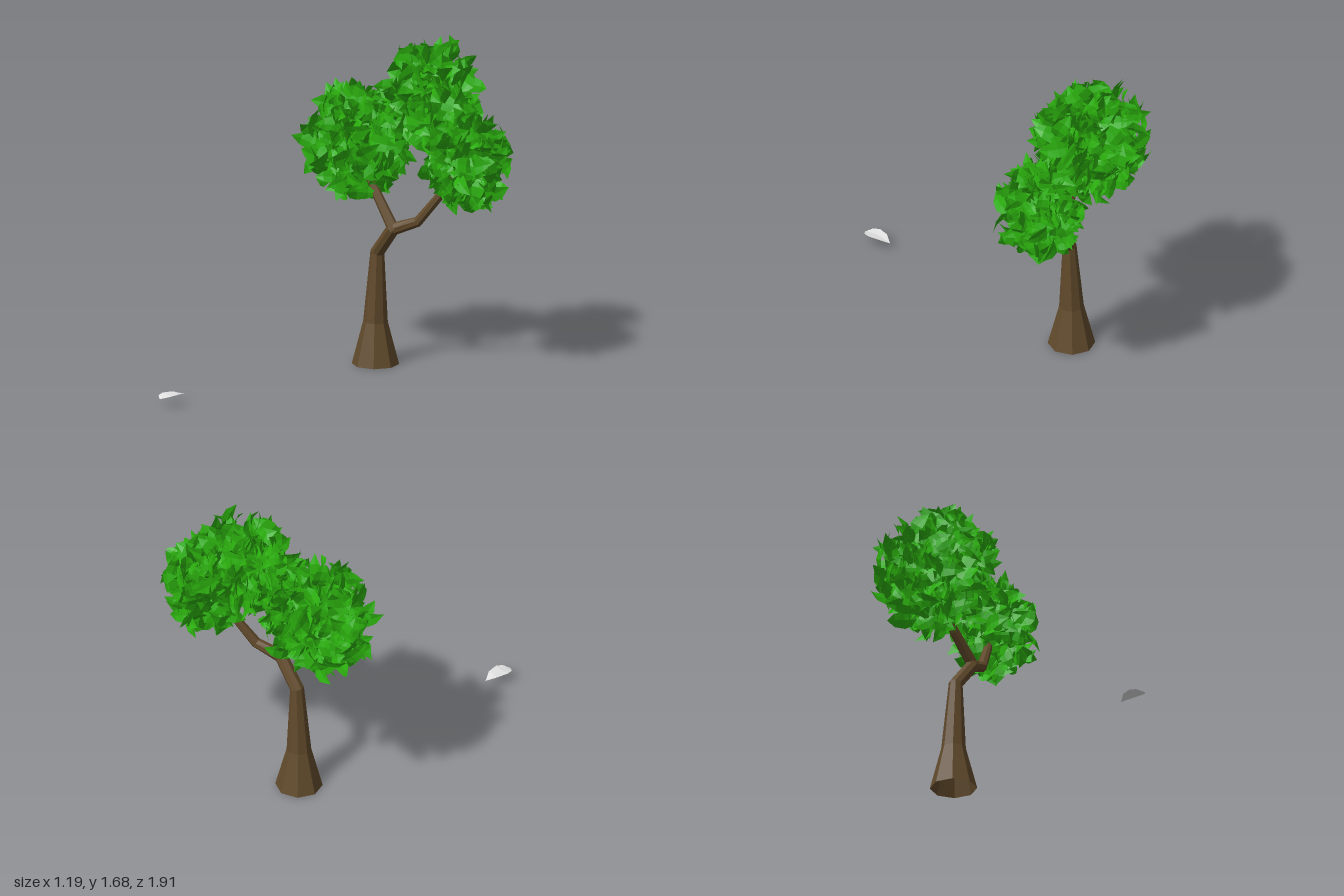
import * as THREE from 'three';
import { mergeGeometries } from 'three/addons/utils/BufferGeometryUtils.js';

const bark = new THREE.MeshStandardMaterial({ name: 'bark brown', color: 0x614a2b, flatShading: true, side: THREE.DoubleSide });
const green = new THREE.MeshStandardMaterial({ name: 'leaf green', color: 0x2bae0e, flatShading: true, side: THREE.DoubleSide });
const pale = new THREE.MeshStandardMaterial({ name: 'pale grey', color: 0xe3e3e3, flatShading: true, side: THREE.DoubleSide });

// Small seeded generator, 0..1
let seed = 7;
function rand() {
  seed = (seed * 16807) % 2147483647;
  return seed / 2147483647;
}
const spread = () => rand() * 2 - 1;

// Random point inside the unit ball
function ballPoint() {
  const p = new THREE.Vector3();
  do p.set(spread(), spread(), spread()); while (p.length() > 1 || p.length() < 0.05);
  return p;
}

function flatGeometry(positions, index) {
  const g = new THREE.BufferGeometry();
  g.setAttribute('position', new THREE.Float32BufferAttribute(positions, 3));
  g.setIndex(index);
  const flat = g.toNonIndexed();
  flat.computeVertexNormals();
  return flat;
}

// Tapered eight-sided open limb through [x, y, z, radius] stations
function limb(name, stations, sides = 8) {
  const pts = stations.map(s => new THREE.Vector3(s[0], s[1], s[2]));
  const last = pts.length - 1;
  const pos = [], idx = [];
  pts.forEach((p, i) => {
    const t = new THREE.Vector3();
    if (i > 0) t.add(p.clone().sub(pts[i - 1]).normalize());
    if (i < last) t.add(pts[i + 1].clone().sub(p).normalize());
    t.normalize();
    const u = new THREE.Vector3(0, 0, 1).cross(t).normalize();
    const v = t.clone().cross(u);
    for (let j = 0; j < sides; j++) {
      const a = (j / sides) * Math.PI * 2;
      const q = p.clone().addScaledVector(u, Math.cos(a) * stations[i][3]).addScaledVector(v, Math.sin(a) * stations[i][3]);
      pos.push(q.x, q.y, q.z);
    }
  });
  for (let i = 0; i < last; i++) {
    for (let j = 0; j < sides; j++) {
      const a = i * sides + j, b = i * sides + (j + 1) % sides;
      idx.push(a, b, a + sides, b, b + sides, a + sides);
    }
  }
  const mesh = new THREE.Mesh(flatGeometry(pos, idx), bark);
  mesh.name = name;
  return mesh;
}

// Pointed leaf growing along +y with its face to +z; bend arches it, edges lift slightly
function leafGeometry(bend) {
  const rows = [[0.022, 0.034, 0.006], [0.058, 0.045, 0.012], [0.115, 0.034, 0.011]];
  const pos = [0, 0, 0];
  for (const [y, w, z] of rows) {
    pos.push(-w, y, z * bend + 0.005, 0, y, z * bend, w, y, z * bend + 0.005);
  }
  pos.push(0, 0.168, 0);
  const idx = [0, 2, 1, 0, 3, 2, 7, 8, 10, 8, 9, 10];
  for (const a of [1, 2, 4, 5]) idx.push(a, a + 1, a + 4, a, a + 4, a + 3);
  return flatGeometry(pos, idx);
}

// Ball evenly filled with upright leaves whose tips point loosely outwards
function leafCluster(name, centre, radii, count) {
  const leaf = leafGeometry(2).translate(0, -0.07, 0);
  const c = new THREE.Vector3(...centre), r = new THREE.Vector3(...radii);
  const leaves = [];
  for (let i = 0; i < count; i++) {
    const p = ballPoint();
    const tip = p.clone().multiplyScalar(0.6).add(ballPoint()).add(new THREE.Vector3(0, 0.15, 0)).normalize();
    // Leaf face stays close to vertical
    const face = tip.clone().cross(new THREE.Vector3(0, 1, 0)).normalize();
    if (rand() < 0.5) face.negate();
    face.addScaledVector(ballPoint(), 0.7);
    face.addScaledVector(tip, -face.dot(tip)).normalize();
    const side = tip.clone().cross(face);
    const m = new THREE.Matrix4().makeBasis(side, tip, face);
    const s = 0.75 + rand() * 0.25;
    m.scale(new THREE.Vector3(s, s, s)).setPosition(p.multiply(r).add(c));
    leaves.push(leaf.clone().applyMatrix4(m));
  }
  const mesh = new THREE.Mesh(mergeGeometries(leaves), green);
  mesh.name = name;
  return mesh;
}

export function createModel() {
  const tree = new THREE.Group();
  tree.name = 'tree';

  // Trunk and branches
  tree.add(
    limb('trunk', [
      [-0.115, 0, -0.415, 0.119], [-0.115, 0.22, -0.415, 0.062],
      [-0.1, 0.58, -0.415, 0.036], [0.02, 0.725, -0.418, 0.034],
    ]),
    limb('leftFork', [
      [0.03, 0.71, -0.418, 0.03], [-0.1, 0.865, -0.42, 0.025], [-0.2, 1.0, -0.42, 0.018], [-0.28, 1.15, -0.42, 0.008],
    ]),
    limb('rightFork', [
      [0.005, 0.715, -0.415, 0.033], [0.135, 0.77, -0.48, 0.027], [0.24, 0.925, -0.55, 0.022], [0.34, 1.1, -0.62, 0.008],
    ]),
    limb('upperBranch', [
      [-0.18, 0.98, -0.42, 0.015], [-0.08, 1.2, -0.53, 0.012], [0.05, 1.42, -0.63, 0.006],
    ]),
  );

  // Foliage
  tree.add(
    leafCluster('leftFoliage', [-0.27, 1.11, -0.42], [0.27, 0.28, 0.25], 350),
    leafCluster('upperFoliage', [0.05, 1.39, -0.65], [0.21, 0.24, 0.22], 290),
    leafCluster('middleFoliage', [-0.07, 1.24, -0.53], [0.15, 0.14, 0.15], 80),
    leafCluster('rightFoliage', [0.35, 1.1, -0.63], [0.19, 0.23, 0.2], 220),
    leafCluster('linkFoliage', [0.2, 1.24, -0.63], [0.1, 0.1, 0.13], 40),
  );

  // Single leaf lying apart from the tree
  const loose = new THREE.Mesh(leafGeometry(1), pale);
  loose.name = 'looseLeaf';
  loose.rotation.x = -Math.PI / 2;
  loose.position.set(-0.12, 0.046, 1);

  const model = new THREE.Group();
  model.name = 'treeWithLeaf';
  model.add(tree, loose);
  return model;
}
